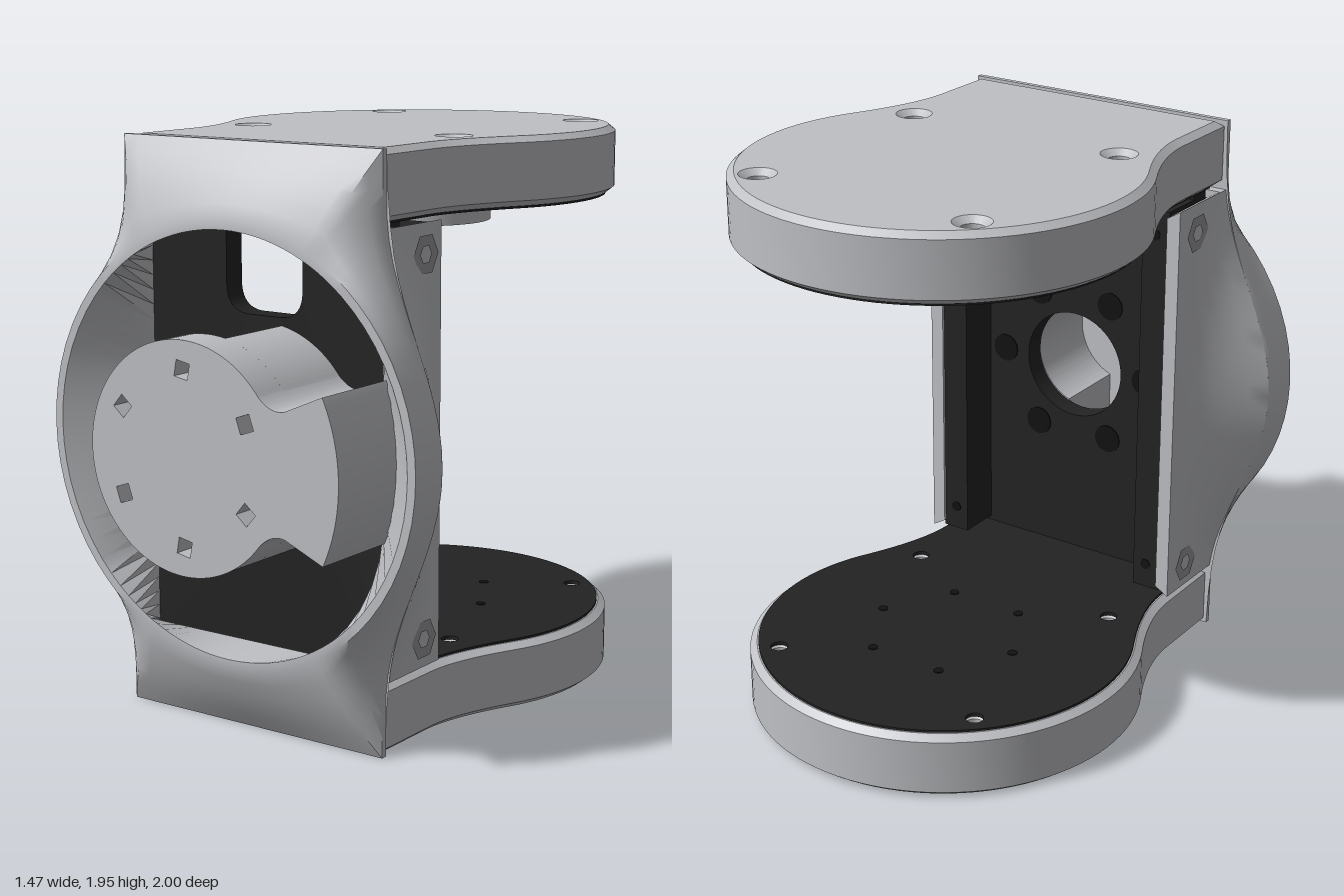
import * as THREE from 'three';
import { toCreasedNormals } from 'three/addons/utils/BufferGeometryUtils.js';

const MID = 0.975; // height of the horizontal mirror plane
const grey = new THREE.MeshStandardMaterial({ color: 0xbfc0c4, side: THREE.DoubleSide });
grey.name = 'light grey';
const black = new THREE.MeshStandardMaterial({ color: 0x232323, side: THREE.DoubleSide });
black.name = 'black';
const dark = new THREE.MeshStandardMaterial({ color: 0x111111 });
dark.name = 'dark hole';
const shade = new THREE.MeshStandardMaterial({ color: 0x98999c });
shade.name = 'recess grey';

const smooth = (g, angle = 0.6) => toCreasedNormals(g, angle);
function add(parent, name, geometry, material, x = 0, y = 0, z = 0) {
  const mesh = new THREE.Mesh(geometry, material);
  mesh.name = name;
  mesh.position.set(x, y, z);
  parent.add(mesh);
  return mesh;
}
const extrude = (shape, depth, extra = {}) =>
  smooth(new THREE.ExtrudeGeometry(shape, { depth, bevelEnabled: false, curveSegments: 32, ...extra }));

function circleHole(shape, x, y, r) {
  const p = new THREE.Path();
  p.absarc(x, y, r, 0, Math.PI * 2, true);
  shape.holes.push(p);
}
// small square screw hole, turned by an angle
function squareHole(shape, x, y, r, turn) {
  const pts = [0, 1, 2, 3].map((i) => {
    const a = turn - i * Math.PI / 2;
    return new THREE.Vector2(x + r * Math.cos(a), y + r * Math.sin(a));
  });
  shape.holes.push(new THREE.Path(pts));
}

// rounded paddle outline of the arms; shape y is -z
const armScrews = [[-0.415, 0.73], [0.415, 0.73], [-0.415, -0.1], [0.415, -0.1]];
function paddle(inset, holeRadius) {
  const w = 0.51 - inset, r = 0.69 - inset, a = 0.466, f = -0.63 + inset;
  const s = new THREE.Shape();
  s.moveTo(-w, f);
  s.lineTo(w, f);
  s.lineTo(w, -0.36);
  s.quadraticCurveTo(w, -0.21, r * Math.cos(a), 0.31 - r * Math.sin(a));
  s.absarc(0, 0.31, r, -a, Math.PI + a, false);
  s.quadraticCurveTo(-w, -0.21, -w, -0.36);
  for (const [x, y] of armScrews) circleHole(s, x, y, holeRadius);
  return s;
}

// one arm: chamfered cover with an inner black plate
function arm(name) {
  const g = new THREE.Group();
  g.name = name;
  const cover = extrude(paddle(0, 0.038), 0.19, {
    bevelEnabled: true, bevelThickness: 0.02, bevelSize: 0.025, bevelOffset: -0.025, bevelSegments: 1,
  }).rotateX(-Math.PI / 2);
  add(g, 'armCover', cover, grey, 0, 0.765, 0);
  add(g, 'armInnerPlate', extrude(paddle(0.03, 0.03), 0.013).rotateX(-Math.PI / 2), black, 0, 0.737, 0);
  for (let i = 0; i < 6; i++) {
    const a = i * Math.PI / 3;
    add(g, 'plateHole', new THREE.CylinderGeometry(0.018, 0.018, 0.004, 10), dark,
      0.28 * Math.cos(a), 0.736, -0.31 + 0.28 * Math.sin(a));
  }
  g.position.y = MID;
  return g;
}

// flared housing: closed loop of sections from the back edge, over the rim, back inside
function housing() {
  const ring = [];
  const run = (n, fn) => { for (let i = 0; i <= n; i++) ring.push(fn(-1 + 2 * i / n)); };
  run(28, (t) => ({ u: 1, v: t, side: true }));
  run(18, (t) => ({ u: -t, v: 1, side: false }));
  run(28, (t) => ({ u: -1, v: -t, side: true }));
  run(18, (t) => ({ u: t, v: -1, side: false }));

  // rectangle whose sides swell outward; top and bottom edges start further forward
  const rect = (z, hx, hy, swell) => ring.map(({ u, v, side }) => {
    const y = v * hy;
    const c = Math.cos(Math.PI / 2 * Math.min(1, Math.abs(y) / 0.8));
    return new THREE.Vector3(u * (hx + 0.215 * c * c * swell), y, side ? z : Math.max(z, 0.6));
  });
  const swellAt = (z) => Math.pow((z - 0.33) / 0.31, 1.4);
  const loops = [0.33, 0.38, 0.43, 0.48, 0.53, 0.58, 0.635].map((z) => rect(z, 0.52, 0.73, swellAt(z)));
  loops.push(rect(0.635, 0.52, 0.975, swellAt(0.635)));
  const base = rect(0.655, 0.52, 0.975, 1);
  const circle = (r, z) => base.map((p) => {
    const a = Math.atan2(p.y, p.x);
    return new THREE.Vector3(r * Math.cos(a), r * Math.sin(a), z);
  });
  const rim = circle(0.735, 0.79);
  for (const t of [0, 0.2, 0.4, 0.6, 0.8, 1]) {
    loops.push(base.map((p, i) => {
      const q = p.clone().lerp(rim[i], t);
      q.z += 0.012 * Math.sin(Math.PI * t);
      return q;
    }));
  }
  loops.push(circle(0.705, 0.79), rect(0.58, 0.47, 0.7, 0), rect(0.33, 0.47, 0.7, 0), loops[0]);

  const n = ring.length, pos = [], index = [];
  for (const loop of loops) for (const p of loop) pos.push(p.x, p.y, p.z);
  for (let i = 0; i < loops.length - 1; i++) {
    for (let j = 0; j < n; j++) {
      const k = (j + 1) % n, a = i * n + j, b = i * n + k;
      index.push(a, b, b + n, a, b + n, a + n);
    }
  }
  const g = new THREE.BufferGeometry();
  g.setAttribute('position', new THREE.Float32BufferAttribute(pos, 3));
  g.setIndex(index);
  return smooth(g.toNonIndexed(), 0.7);
}

// round hub outline with a fan-shaped tab, cut off left of x = cut when given
function hubShape(cut) {
  const s = new THREE.Shape(), r = 0.38, a = 0.663, b = Math.atan2(0.26, 0.54);
  const full = cut === undefined;
  const start = full ? Math.PI : Math.acos(cut / r);
  s.absarc(0, 0, r, full ? -Math.PI : -start, -a, false);
  s.quadraticCurveTo(0.35, -0.185, 0.4, -0.2);
  s.lineTo(0.54, -0.26);
  s.absarc(0, 0, 0.6, -b, b, false);
  s.lineTo(0.4, 0.2);
  s.quadraticCurveTo(0.35, 0.185, r * Math.cos(a), r * Math.sin(a));
  s.absarc(0, 0, r, a, full ? Math.PI - 0.01 : start, false);
  if (!full) {
    const c = Math.acos(cut / 0.2);
    s.absarc(0, 0, 0.2, c, -c, true);
  }
  for (let i = 0; i < 6; i++) {
    const t = Math.PI / 6 + i * Math.PI / 3, x = 0.285 * Math.cos(t);
    if (full || x > cut + 0.04) squareHole(s, x, 0.285 * Math.sin(t), 0.038, t + 0.6);
  }
  return s;
}

export function createModel() {
  const model = new THREE.Group();
  model.name = 'jointBracket';

  // upper and lower arms
  const lower = arm('lowerArm');
  lower.rotation.z = Math.PI;
  model.add(arm('upperArm'), lower);

  // hollow bearing boss below the upper arm
  const boss = [[0, 1.7], [0.2, 1.7], [0.2, 1.615], [0.26, 1.615], [0.26, 1.7], [0.295, 1.7], [0.295, 1.73]]
    .map(([x, y]) => new THREE.Vector2(x, y));
  add(model, 'bearingBoss', smooth(new THREE.LatheGeometry(boss, 40)), grey, 0, 0, -0.305);

  add(model, 'housing', housing(), grey, 0, MID, 0);

  // black upright with a round opening and a cable slot
  const plate = new THREE.Shape();
  plate.moveTo(-0.475, -0.75);
  plate.lineTo(0.475, -0.75);
  plate.lineTo(0.475, 0.75);
  plate.lineTo(-0.475, 0.75);
  circleHole(plate, 0, 0, 0.2);
  const slot = new THREE.Path();
  slot.moveTo(-0.155, 0.715);
  slot.lineTo(0.155, 0.715);
  slot.lineTo(0.155, 0.5);
  slot.quadraticCurveTo(0.155, 0.405, 0.06, 0.405);
  slot.lineTo(-0.06, 0.405);
  slot.quadraticCurveTo(-0.155, 0.405, -0.155, 0.5);
  plate.holes.push(slot);
  add(model, 'uprightPlate', extrude(plate, 0.08), black, 0, MID, 0.5);
  for (let i = 0; i < 6; i++) {
    const a = i * Math.PI / 3;
    add(model, 'uprightHole', new THREE.CylinderGeometry(0.052, 0.052, 0.006, 16).rotateX(Math.PI / 2), dark,
      0.3 * Math.cos(a), MID + 0.3 * Math.sin(a), 0.499);
  }

  // side rails of the upright and screw recesses in the housing sides
  for (const s of [1, -1]) {
    add(model, 'sideRail', new THREE.BoxGeometry(0.105, 1.44, 0.17), black, s * 0.4225, MID, 0.425);
    for (const dy of [0.63, -0.63]) {
      add(model, 'railHole', new THREE.CylinderGeometry(0.02, 0.02, 0.004, 10).rotateX(Math.PI / 2), dark,
        s * 0.42, MID + dy, 0.339);
      add(model, 'sideRecess', new THREE.RingGeometry(0.03, 0.07, 6).rotateY(s * Math.PI / 2), shade,
        s * 0.532, MID + dy, 0.435);
    }
  }

  // hub: full front disc carried by a half body behind it
  const hub = new THREE.Group();
  hub.name = 'hub';
  hub.position.y = MID + 0.005;
  add(hub, 'hubDisc', extrude(hubShape(), 0.13), grey, 0, 0, 0.87);
  add(hub, 'hubBody', extrude(hubShape(0.07), 0.295), grey, 0, 0, 0.578);
  model.add(hub);

  return model;
}
